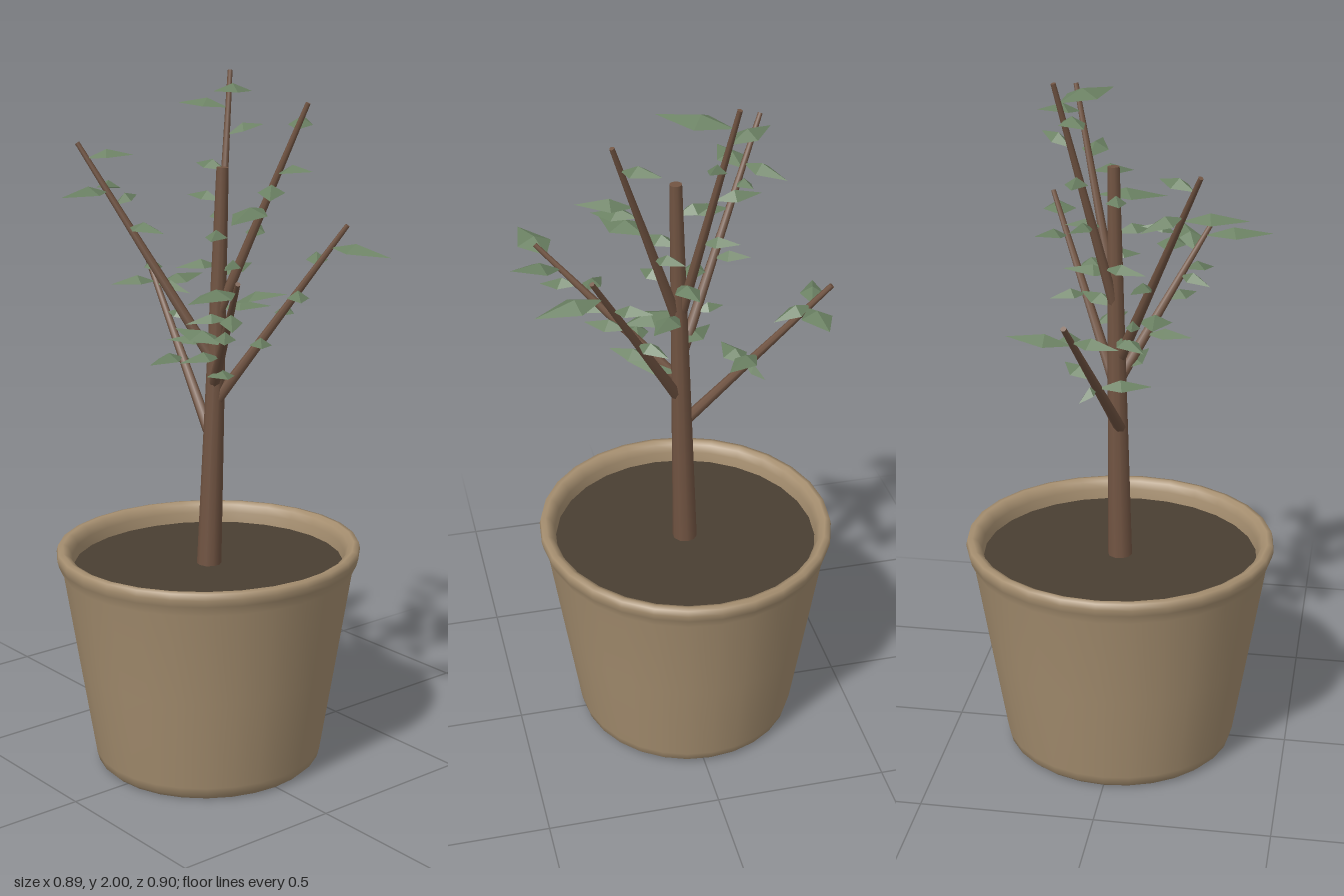
import * as THREE from 'three';
import { mergeGeometries } from 'three/addons/utils/BufferGeometryUtils.js';

const mat = (name, color, extra = {}) => {
  const m = new THREE.MeshStandardMaterial({ color, ...extra });
  m.name = name;
  return m;
};
const V = (x, y, z) => new THREE.Vector3(x, y, z);
const UP = V(0, 1, 0);

// Tapered stem between two points
function stemGeometry(a, b, r0, r1, sides) {
  const d = b.clone().sub(a);
  const g = new THREE.CylinderGeometry(r1, r0, d.length(), sides);
  g.applyQuaternion(new THREE.Quaternion().setFromUnitVectors(UP, d.normalize()));
  return g.translate((a.x + b.x) / 2, (a.y + b.y) / 2, (a.z + b.z) / 2);
}

// Faceted diamond leaf with a raised centre
function leafGeometry(base, tip) {
  const d = tip.clone().sub(base);
  const len = d.length();
  const side = V(d.z, 0, -d.x).normalize().multiplyScalar(len * 0.25);
  const mid = base.clone().addScaledVector(d, 0.42);
  const left = mid.clone().add(side);
  const right = mid.clone().sub(side);
  mid.y += 0.022;
  const rim = [base, right, tip, left];
  const points = [];
  rim.forEach((p, i) => points.push(mid, p, rim[(i + 1) % 4]));
  const g = new THREE.BufferGeometry().setFromPoints(points);
  g.computeVertexNormals();
  return g;
}

export function createModel() {
  const clay = mat('clay', 0xa68f70, { side: THREE.DoubleSide });
  const soil = mat('soil', 0x4a3f32);
  const bark = mat('bark', 0x715442);
  const foliage = mat('foliage', 0x6b8163, { side: THREE.DoubleSide, flatShading: true });
  const model = new THREE.Group();
  const add = (name, geometry, material, parent = model) => {
    const mesh = new THREE.Mesh(geometry, material);
    mesh.name = name;
    parent.add(mesh);
    return mesh;
  };

  // Slightly oval pot with a rounded rim
  const pot = new THREE.Group();
  pot.name = 'pot';
  pot.position.x = -0.019;
  pot.scale.x = 0.957;
  model.add(pot);
  const profile = [
    [0.318, 0], [0.334, 0.015], [0.341, 0.04], [0.385, 0.31], [0.43, 0.59], [0.444, 0.62],
    [0.449, 0.64], [0.445, 0.657], [0.43, 0.66], [0.414, 0.652], [0.403, 0.63], [0.398, 0.585],
  ].map(([r, y]) => new THREE.Vector2(r, y));
  add('potWall', new THREE.LatheGeometry(profile, 28), clay, pot);
  add('soilSurface', new THREE.CircleGeometry(0.4, 28).rotateX(-Math.PI / 2).translate(0, 0.6, 0), soil, pot);
  add('potBase', new THREE.CircleGeometry(0.319, 28).rotateX(Math.PI / 2), soil, pot);

  // A stem with leaves: each leaf is [position along stem, tip x, tip z, rise]
  function addStem(name, a, b, r0, r1, sides, leaves) {
    const stem = new THREE.Group();
    stem.name = name;
    model.add(stem);
    add('wood', stemGeometry(a, b, r0, r1, sides), bark, stem);
    const geometries = leaves.map(([t, x, z, rise]) => {
      const base = a.clone().lerp(b, t);
      return leafGeometry(base, V(x, base.y + rise, z));
    });
    add('leaves', mergeGeometries(geometries), foliage, stem);
  }

  addStem('trunk', V(-0.018, 0.58, 0), V(0.014, 1.75, -0.023), 0.036, 0.017, 10, [
    [0.5, 0.14, 0.06, 0.02], [0.58, -0.11, 0.08, 0.0], [0.66, 0.1, -0.13, 0.01],
    [0.74, -0.02, -0.16, 0.02], [0.84, 0.09, 0.08, 0.0], [0.92, -0.1, 0.01, 0.01],
  ]);
  addStem('lowerRightBranch', V(-0.02, 1.0, 0), V(-0.41, 1.43, -0.085), 0.017, 0.008, 7, [
    [0.42, -0.15, 0.11, 0.0], [0.5, -0.11, -0.14, 0.01], [0.42, -0.23, -0.08, -0.03],
    [0.84, -0.355, -0.25, 0.02], [0.86, -0.24, -0.11, -0.02], [0.87, -0.4, 0.06, 0.0],
  ]);
  addStem('frontRightBranch', V(0.0, 1.2, -0.005), V(-0.29, 1.81, 0.25), 0.017, 0.007, 7, [
    [0.2, -0.14, 0.05, 0.01], [0.42, -0.22, 0.06, 0.01], [0.62, -0.02, 0.155, 0.0],
    [0.72, -0.23, 0.09, 0.02], [0.78, -0.2, 0.37, 0.0], [0.8, -0.33, 0.1, -0.02],
    [0.93, -0.19, 0.13, 0.01],
  ]);
  addStem('rearRightBranch', V(0.005, 1.32, -0.01), V(-0.12, 2.0, -0.16), 0.016, 0.007, 7, [
    [0.22, -0.07, 0.08, 0.0], [0.4, -0.14, -0.12, 0.01], [0.6, -0.2, -0.1, 0.01],
    [0.74, -0.03, -0.21, 0.03], [0.85, -0.23, -0.06, 0.01], [0.92, 0.07, -0.03, 0.01],
  ]);
  addStem('rearLeftBranch', V(0.005, 1.33, -0.01), V(0.21, 1.93, -0.16), 0.016, 0.007, 7, [
    [0.25, 0.1, 0.04, 0.0], [0.38, 0.02, -0.16, 0.02], [0.52, 0.2, 0.1, -0.02],
    [0.68, 0.3, -0.1, 0.02], [0.62, 0.24, -0.0, -0.02], [0.88, 0.1, -0.25, 0.02],
  ]);
  addStem('lowerRearBranch', V(0.0, 1.08, -0.005), V(0.285, 1.6, -0.243), 0.017, 0.007, 7, [
    [0.35, 0.2, -0.01, 0.01], [0.5, 0.08, -0.22, 0.0], [0.62, 0.28, -0.08, 0.0],
    [0.78, 0.13, -0.27, 0.02], [0.88, 0.44, -0.26, -0.01],
  ]);
  addStem('frontLeftBranch', V(0.0, 1.14, -0.005), V(0.36, 1.5, 0.21), 0.017, 0.007, 7, [
    [0.28, 0.09, 0.19, 0.0], [0.4, -0.05, 0.095, 0.02], [0.5, 0.27, 0.18, 0.0],
    [0.66, 0.17, 0.23, -0.01], [0.7, 0.35, 0.22, -0.02], [0.82, 0.445, 0.115, 0.04],
    [0.92, 0.38, 0.39, 0.0],
  ]);
  return model;
}
